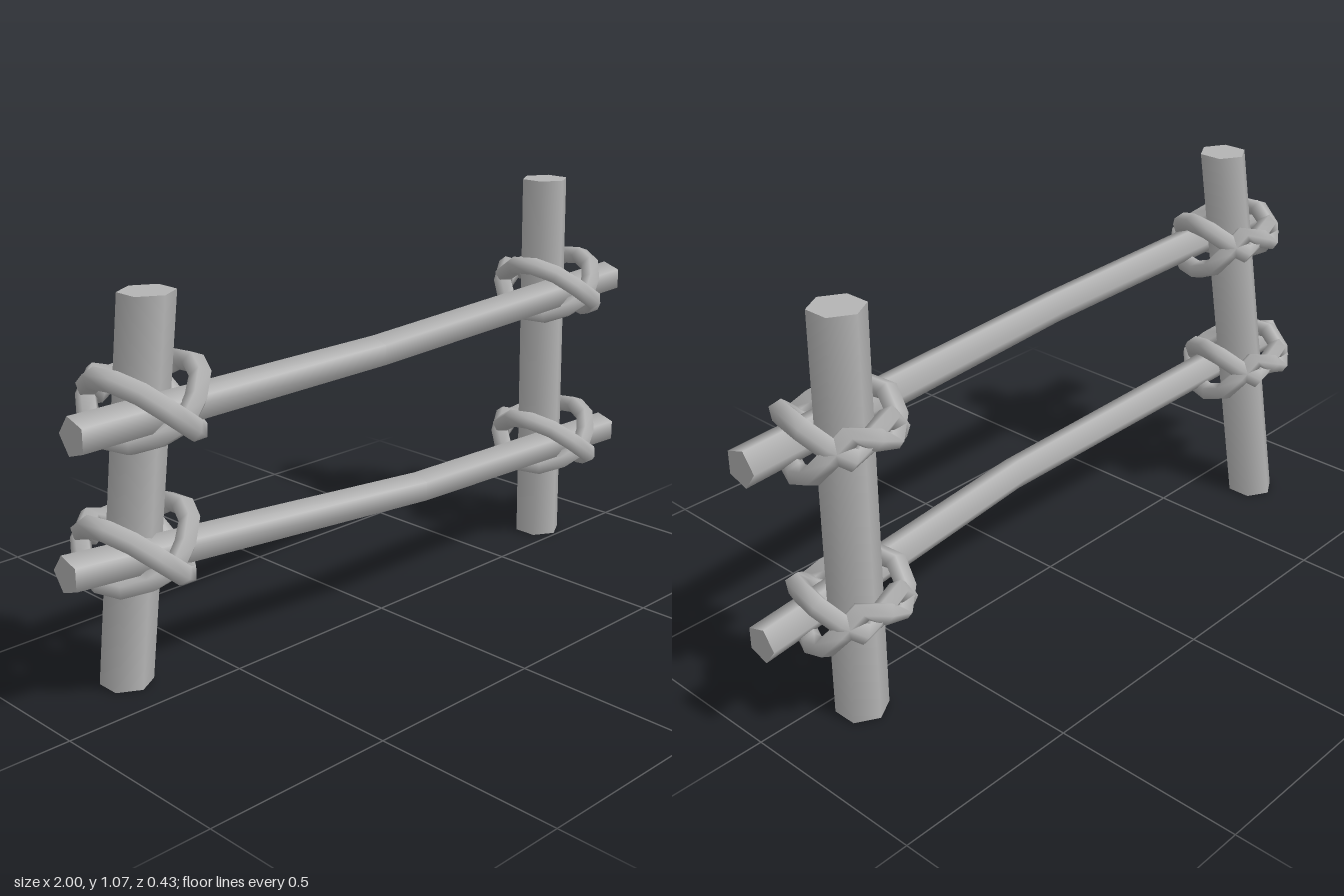
import * as THREE from 'three';

const wood = new THREE.MeshStandardMaterial({ color: 0xb4b4b4 });
wood.name = 'plainGrey';

function addMesh(parent, geometry, name) {
  const mesh = new THREE.Mesh(geometry, wood);
  mesh.name = name;
  parent.add(mesh);
  return mesh;
}

// Leaning six-sided post: the ends stay level, the shaft is sheared
function postGeometry({ foot, top, height }) {
  const geometry = new THREE.CylinderGeometry(0.066, 0.066, height, 6);
  geometry.translate(0, height / 2, 0);
  const p = geometry.attributes.position;
  for (let i = 0; i < p.count; i++) {
    const t = p.getY(i) / height;
    p.setX(i, p.getX(i) + THREE.MathUtils.lerp(foot[0], top[0], t));
    p.setZ(i, p.getZ(i) + THREE.MathUtils.lerp(foot[1], top[1], t));
  }
  return geometry;
}

// Five-sided rail along x through three points, bent at the middle one
function railGeometry(points) {
  const geometry = new THREE.CylinderGeometry(0.047, 0.047, 2, 5, 2);
  geometry.applyMatrix4(new THREE.Matrix4().makeBasis(
    new THREE.Vector3(0, 1, 0), new THREE.Vector3(1, 0, 0), new THREE.Vector3(0, 0, -1)));
  const p = geometry.attributes.position;
  for (let i = 0; i < p.count; i++) {
    const [x, y, z] = points[Math.round(p.getX(i)) + 1];
    const k = Math.round(p.getX(i)) === 0 ? 0.92 : 1;
    p.setXYZ(i, x, y + p.getY(i) * k, z + p.getZ(i) * k);
  }
  return geometry;
}

// One rope loop: crosses the front diagonally, passes the post's sides, crosses again behind
function ropeGeometry(side, lift) {
  const half = [
    [0.08, 0.06, 0.1], [0.122, 0.068, 0.0], [0.105, 0.02, -0.065], [0.05, -0.03, -0.1],
  ];
  const points = [
    [0, 0, 0.165 + lift],
    ...half,
    [0, 0, -0.105 - lift * 0.5],
    ...half.map(([x, y, z]) => [-x, -y, z]).reverse(),
  ].map(([x, y, z]) => new THREE.Vector3(x * side, y, z));
  const curve = new THREE.CatmullRomCurve3(points, true, 'catmullrom', 0.3);
  return new THREE.TubeGeometry(curve, 14, 0.027, 5, true);
}

export function createModel() {
  const model = new THREE.Group();
  model.name = 'fence';

  // Posts
  const posts = [
    { name: 'rightPost', foot: [-0.735, -0.145], top: [-0.75, 0.03], height: 1.005 },
    { name: 'leftPost', foot: [0.752, -0.075], top: [0.765, -0.1], height: 1.065 },
  ];
  for (const post of posts) addMesh(model, postGeometry(post), post.name);

  // Rails
  const upper = [[-1, 0.742, 0.087], [-0.08, 0.742, 0.06], [1, 0.75, -0.035]];
  const lower = [[-0.97, 0.39, -0.017], [0.1, 0.328, 0.035], [0.985, 0.281, -0.02]];
  addMesh(model, railGeometry(upper), 'upperRail');
  addMesh(model, railGeometry(lower), 'lowerRail');

  // Rope lashings where rails meet posts
  const under = ropeGeometry(1, -0.012);
  const over = ropeGeometry(-1, 0.018);
  const joints = [
    [-0.747, 0.742, -0.008, 0.2],
    [-0.741, 0.378, -0.075, 0.2],
    [0.768, 0.748, -0.093, 0.17],
    [0.76, 0.292, -0.082, 0.17],
  ];
  for (const [x, y, z, tilt] of joints) {
    const lashing = new THREE.Group();
    lashing.name = 'lashing';
    lashing.position.set(x, y + 0.02, z);
    lashing.rotation.x = tilt;
    addMesh(lashing, under, 'underRope');
    addMesh(lashing, over, 'overRope');
    model.add(lashing);
  }
  return model;
}
